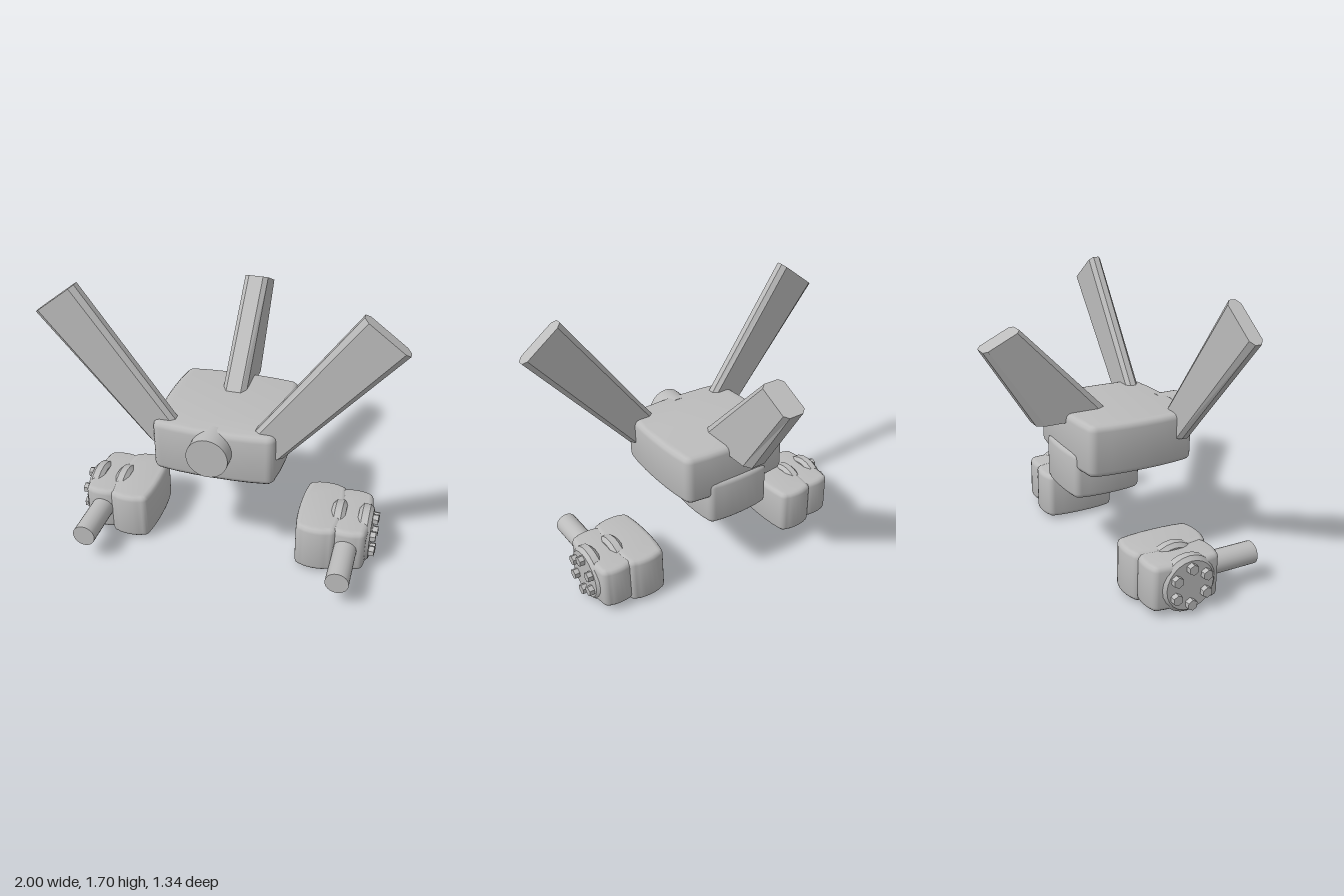
import * as THREE from 'three';
import { toCreasedNormals } from 'three/addons/utils/BufferGeometryUtils.js';

const grey = new THREE.MeshStandardMaterial({ color: 0xbcbcbc });
grey.name = 'plain grey';

function add(parent, name, geometry, x = 0, y = 0, z = 0) {
  const mesh = new THREE.Mesh(geometry, grey);
  mesh.name = name;
  mesh.position.set(x, y, z);
  parent.add(mesh);
  return mesh;
}

// Softly bevelled block whose four sides bow slightly outwards in plan
function blockGeometry(w, h, d, bevel, bulge, corner) {
  const X = w / 2 - bevel, Z = d / 2 - bevel;
  const x = X - bulge, z = Z - bulge, c = corner;
  const s = new THREE.Shape();
  s.moveTo(-x + c, -z);
  s.bezierCurveTo(-x / 2, -Z - bulge / 3, x / 2, -Z - bulge / 3, x - c, -z);
  s.quadraticCurveTo(x, -z, x, -z + c);
  s.bezierCurveTo(X + bulge / 3, -z / 2, X + bulge / 3, z / 2, x, z - c);
  s.quadraticCurveTo(x, z, x - c, z);
  s.bezierCurveTo(x / 2, Z + bulge / 3, -x / 2, Z + bulge / 3, -x + c, z);
  s.quadraticCurveTo(-x, z, -x, z - c);
  s.bezierCurveTo(-X - bulge / 3, z / 2, -X - bulge / 3, -z / 2, -x, -z + c);
  s.quadraticCurveTo(-x, -z, -x + c, -z);
  const g = new THREE.ExtrudeGeometry(s, {
    depth: h - 2 * bevel, bevelSize: bevel, bevelThickness: bevel,
    bevelSegments: 3, curveSegments: 6,
  });
  g.translate(0, 0, -(h - 2 * bevel) / 2);
  g.rotateX(-Math.PI / 2);
  return toCreasedNormals(g, 0.6);
}

// Tapered blade with chamfered long edges, lofted between two eight-sided sections
function finGeometry(bottomIn, bottomOut, topIn, topOut, thickness, chamfer) {
  const h = thickness / 2, a = h - chamfer;
  const section = [[0, -a], [0, a], [0.1, h], [0.9, h], [1, a], [1, -a], [0.9, -h], [0.1, -h]];
  const loop = (p, q) => section.map(([f, z]) =>
    [p[0] + (q[0] - p[0]) * f, p[1] + (q[1] - p[1]) * f, z]);
  const b = loop(bottomIn, bottomOut), t = loop(topIn, topOut);
  const v = [];
  for (let i = 0; i < 8; i++) {
    const j = (i + 1) % 8;
    v.push(...b[i], ...b[j], ...t[j], ...b[i], ...t[j], ...t[i]);
    if (i > 0 && i < 7) v.push(...t[0], ...t[i], ...t[j], ...b[0], ...b[j], ...b[i]);
  }
  const g = new THREE.BufferGeometry();
  g.setAttribute('position', new THREE.Float32BufferAttribute(v, 3));
  g.computeVertexNormals();
  return g;
}

// Disc with chamfered rims, axis along x
function discGeometry(r, width, chamfer) {
  const h = width / 2;
  const profile = [[0, -h], [r - chamfer, -h], [r, -h + chamfer], [r, h - chamfer], [r - chamfer, h], [0, h]];
  const g = new THREE.LatheGeometry(profile.map(([x, y]) => new THREE.Vector2(x, y)), 24);
  g.rotateZ(Math.PI / 2);
  return toCreasedNormals(g, 0.6);
}

// Floating side pod with barrel, two discs and a ring of bolts
function createPod(side) {
  const pod = new THREE.Group();
  pod.name = side > 0 ? 'leftPod' : 'rightPod';
  add(pod, 'innerBlock', blockGeometry(0.27, 0.30, 0.50, 0.03, 0.015, 0.015), side * 0.58, 0.17, 0.165);
  add(pod, 'outerBlock', blockGeometry(0.24, 0.275, 0.45, 0.03, 0.012, 0.015), side * 0.76, 0.177, 0.165);
  add(pod, 'innerDisc', discGeometry(0.172, 0.085, 0.022), side * 0.685, 0.174, 0.172);
  add(pod, 'outerDisc', discGeometry(0.172, 0.085, 0.022), side * 0.845, 0.174, 0.172);

  const barrel = new THREE.CylinderGeometry(0.068, 0.068, 0.34, 24);
  barrel.rotateX(Math.PI / 2);
  add(pod, 'barrel', barrel, side * 0.757, 0.19, 0.50);

  const bolt = new THREE.CylinderGeometry(0.032, 0.032, 0.06, 6).toNonIndexed();
  bolt.computeVertexNormals();
  bolt.rotateY(Math.PI / 2);
  bolt.rotateZ(Math.PI / 2);
  for (let i = 0; i < 6; i++) {
    const a = i * Math.PI / 3;
    add(pod, 'bolt', bolt, side * 0.89, 0.174 + 0.109 * Math.cos(a), 0.172 + 0.109 * Math.sin(a));
  }
  return pod;
}

export function createModel() {
  const model = new THREE.Group();
  model.name = 'hoveringMachine';

  // Main body, belly and nose
  add(model, 'body', blockGeometry(0.74, 0.31, 0.72, 0.035, 0.02, 0.02), 0, 0.805, 0.17);
  add(model, 'belly', blockGeometry(0.45, 0.28, 0.46, 0.03, 0.015, 0.015), 0, 0.61, 0.02);
  const nose = new THREE.CylinderGeometry(0.118, 0.118, 0.15, 32);
  nose.rotateX(Math.PI / 2);
  add(model, 'nose', nose, 0, 0.845, 0.535);

  // Pair of raised side fins
  const sideFin = finGeometry([0.12, 0.81], [0.385, 0.81], [0.76, 1.70], [1.0, 1.52], 0.082, 0.022);
  add(model, 'leftFin', sideFin, 0, 0, 0.425);
  add(model, 'rightFin', sideFin, 0, 0, 0.425).rotation.y = Math.PI;

  // Swept rear fin
  const rearFin = finGeometry([-0.125, 0.905], [0.365, 0.905], [0.45, 1.48], [0.665, 1.375], 0.142, 0.027);
  add(model, 'rearFin', rearFin).rotation.y = Math.PI / 2;

  for (const side of [-1, 1]) model.add(createPod(side));
  return model;
}
